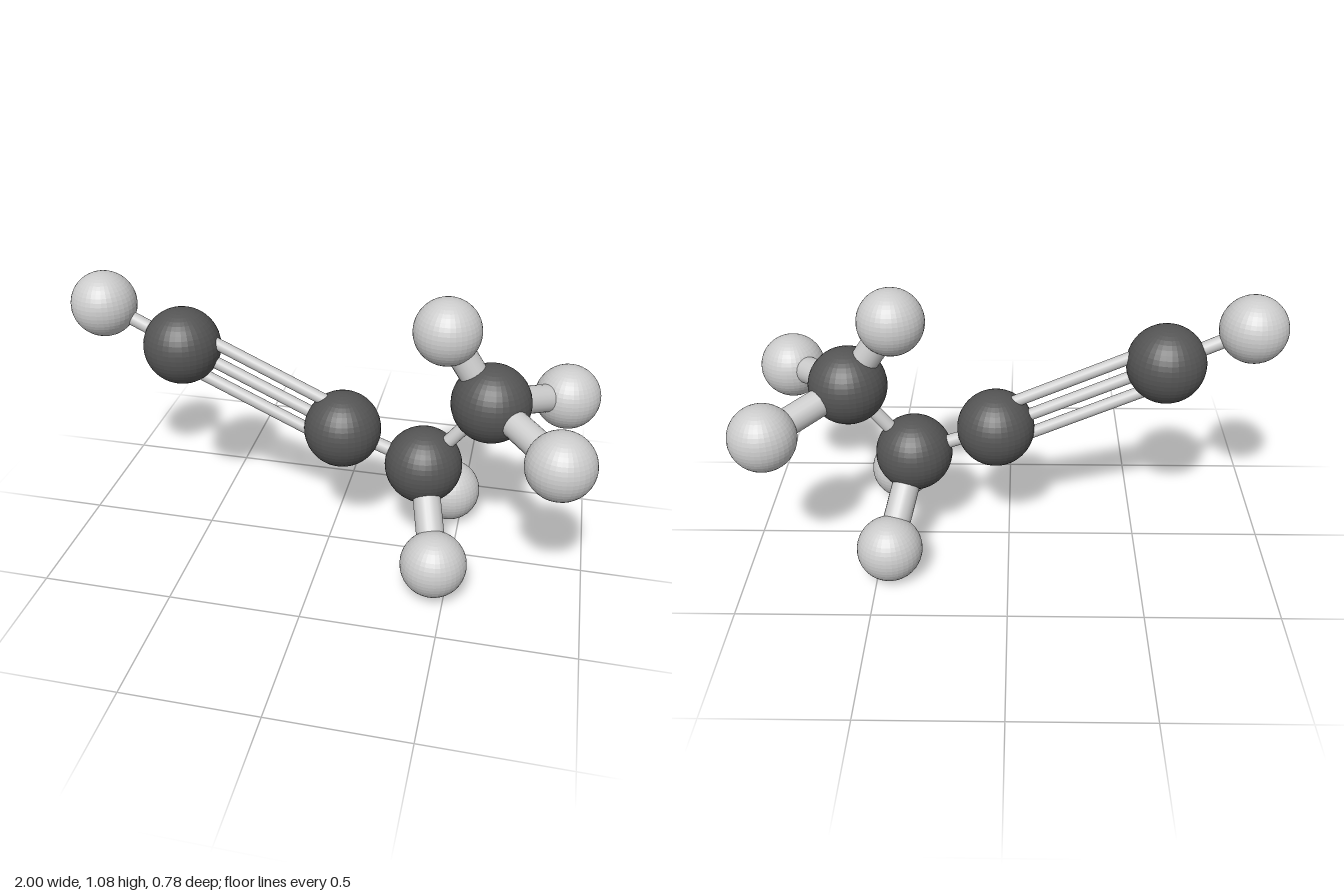
import * as THREE from 'three';

export function createModel() {
  const group = new THREE.Group();
  const light = new THREE.MeshStandardMaterial({ color: 0xcccccc, flatShading: true });
  const dark = new THREE.MeshStandardMaterial({ color: 0x555555, flatShading: true });
  const bondMaterial = new THREE.MeshStandardMaterial({ color: 0xcccccc });

  const smallBall = new THREE.SphereGeometry(0.124, 36, 24);
  const largeBall = new THREE.SphereGeometry(0.147, 36, 24);
  const v = (x, y, z) => new THREE.Vector3(x, y, z);

  // Atom centres: a four-carbon chain and its six hydrogens
  const carbons = [
    v(-0.575, 0.795, -0.018),
    v(0.05, 0.513, -0.012),
    v(0.366, 0.398, -0.008),
    v(0.6, 0.692, -0.01),
  ];
  const hydrogens = [
    { at: v(-0.877, 0.937, -0.02), parent: 0 },
    { at: v(0.453, 0.142, 0.264), parent: 2 },
    { at: v(0.449, 0.126, -0.264), parent: 2 },
    { at: v(0.425, 0.956, -0.017), parent: 3 },
    { at: v(0.863, 0.63, 0.264), parent: 3 },
    { at: v(0.874, 0.617, -0.264), parent: 3 },
  ];

  function addAtom(name, geometry, material, at) {
    const ball = new THREE.Mesh(geometry, material);
    ball.name = name;
    ball.position.copy(at);
    group.add(ball);
  }

  // Rod joining two points
  function addBond(name, a, b, radius) {
    const dir = b.clone().sub(a);
    const rod = new THREE.Mesh(new THREE.CylinderGeometry(radius, radius, dir.length(), 20), bondMaterial);
    rod.name = name;
    rod.position.copy(a).add(b).multiplyScalar(0.5);
    rod.quaternion.setFromUnitVectors(v(0, 1, 0), dir.normalize());
    group.add(rod);
  }

  carbons.forEach((c, i) => addAtom(`carbonAtom${i + 1}`, largeBall, dark, c));

  // Hydrogens; the one at the chain's straight end has a thinner rod
  hydrogens.forEach(({ at, parent }, i) => {
    addAtom(`hydrogenAtom${i + 1}`, smallBall, light, at);
    addBond(`hydrogenBond${i + 1}`, carbons[parent], at, parent === 0 ? 0.026 : 0.053);
  });

  // Triple bond: three parallel rods stacked in the upright plane
  const along = carbons[1].clone().sub(carbons[0]).normalize();
  const across = v(-along.y, along.x, 0).normalize();
  [-1, 0, 1].forEach((k) => {
    const shift = across.clone().multiplyScalar(k * 0.075);
    addBond(`tripleBondRod${k + 2}`, carbons[0].clone().add(shift), carbons[1].clone().add(shift), 0.023);
  });

  // Single bonds of the chain
  addBond('singleBond1', carbons[1], carbons[2], 0.026);
  addBond('singleBond2', carbons[2], carbons[3], 0.026);

  return group;
}
